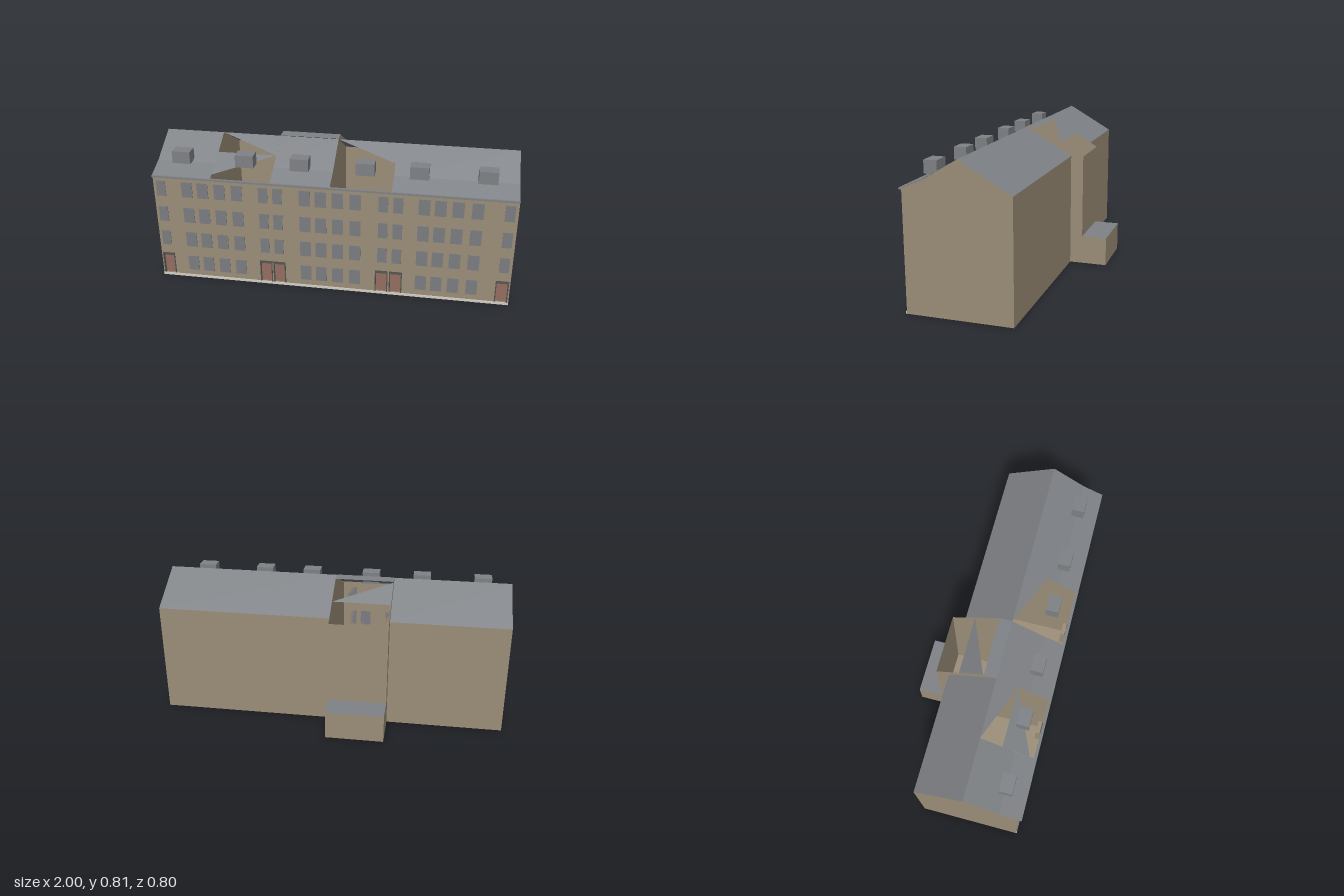
import * as THREE from 'three';

const mat = (name, color) => new THREE.MeshStandardMaterial({ name, color, side: THREE.DoubleSide });

export function createModel() {
  const wall = mat('wall', 0x9c8e78);
  const slate = mat('slate', 0x7f8286);
  const glass = mat('glass', 0x7b7d82);
  const doorRed = mat('door', 0x956f62);
  const dark = mat('darkTrim', 0x55534f);
  const pale = mat('paleStone', 0xd2cec6);

  const model = new THREE.Group();
  model.name = 'terraceBuilding';
  const add = (name, geo, material, parent = model) => {
    const m = new THREE.Mesh(geo, material);
    m.name = name;
    parent.add(m);
    return m;
  };
  // Box given by its minimum and maximum corners
  const box = (name, x0, x1, y0, y1, z0, z1, material, parent) => {
    const g = new THREE.BoxGeometry(x1 - x0, y1 - y0, z1 - z0);
    g.translate((x0 + x1) / 2, (y0 + y1) / 2, (z0 + z1) / 2);
    return add(name, g, material, parent);
  };
  const shapeOf = (pts) => new THREE.Shape(pts.map(([a, b]) => new THREE.Vector2(a, b)));

  // Main dimensions
  const U = 1 / 3, FRONT = 0.385, BACK = -0.183, BAY = -0.255, EAVE = 0.647, RIDGE = 0.805;
  const frontLine = [[0.09, RIDGE], [0.28, 0.692], [0.392, EAVE]];
  const backLine = [[0.09, RIDGE], [BACK, EAVE]];
  const bayLine = [[0.09, RIDGE + 0.002], [0.02, RIDGE + 0.002], [BAY, EAVE]];

  // Height of a sloping line at depth z
  const heightOn = (line, z) => {
    for (let i = 0; i < line.length - 1; i++) {
      const [z0, y0] = line[i], [z1, y1] = line[i + 1];
      if ((z - z0) * (z - z1) <= 1e-9) return y0 + (y1 - y0) * (z - z0) / (z1 - z0);
    }
    return line[line.length - 1][1];
  };
  // Roof panel from a plan outline [x, z], laid on a sloping line, facing up
  const panel = (name, line, plan) => {
    const [a, b, c] = plan;
    const up = (b[1] - a[1]) * (c[0] - a[0]) - (b[0] - a[0]) * (c[1] - a[1]);
    const p = up > 0 ? plan : [...plan].reverse();
    const pos = [];
    for (let i = 1; i < p.length - 1; i++)
      for (const [x, z] of [p[0], p[i], p[i + 1]]) pos.push(x, heightOn(line, z), z);
    const g = new THREE.BufferGeometry();
    g.setAttribute('position', new THREE.Float32BufferAttribute(pos, 3));
    g.computeVertexNormals();
    return add(name, g, slate);
  };
  const strip = (name, line, x0, x1) => {
    for (let i = 0; i < line.length - 1; i++) {
      const z0 = line[i][0], z1 = line[i + 1][0];
      panel(name, line, [[x0, z0], [x1, z0], [x1, z1], [x0, z1]]);
    }
  };

  // Gables and party walls
  for (let i = -3; i <= 3; i++) {
    const rear = i === -1 || i === 0 ? bayLine : backLine;
    const pts = [[FRONT, 0], [FRONT, 0.648], [0.28, 0.691], ...rear, [rear[rear.length - 1][0], 0]];
    const g = new THREE.ShapeGeometry(shapeOf(pts));
    g.rotateY(-Math.PI / 2);
    g.translate(i * U, 0, 0);
    add(Math.abs(i) === 3 ? 'gableWall' : 'partyWall', g, wall);
  }

  // Rear walls, ground floor and rear annex
  const rearWall = (name, x0, x1, z) => {
    const g = new THREE.PlaneGeometry(x1 - x0, EAVE);
    g.rotateY(Math.PI);
    g.translate((x0 + x1) / 2, EAVE / 2, z);
    add(name, g, wall);
  };
  rearWall('rearWall', -1, -U, BACK);
  rearWall('rearWall', 0, 1, BACK);
  rearWall('stairBayWall', -U, 0, BAY);
  const floor = (x0, x1, z0, z1) => {
    const g = new THREE.PlaneGeometry(x1 - x0, z1 - z0);
    g.rotateX(Math.PI / 2);
    g.translate((x0 + x1) / 2, 0, (z0 + z1) / 2);
    add('groundFloor', g, wall);
  };
  floor(-1, 1, BACK, FRONT);
  floor(-U, 0, BAY, BACK);
  box('rearAnnex', -U, 0, 0, 0.165, -0.4, BAY, [wall, wall, slate, wall, wall, wall]);

  // Front wall with door openings
  const doors = [-0.957, -0.373, -0.295, 0.29, 0.37, 0.957];
  const DW = 0.036, DH = 0.15;
  const facade = shapeOf([[-1, 0], [1, 0], [1, 0.648], [-1, 0.648]]);
  for (const x of doors)
    facade.holes.push(new THREE.Path([[x - DW, 0.004], [x - DW, DH], [x + DW, DH], [x + DW, 0.004]]
      .map(([a, b]) => new THREE.Vector2(a, b))));
  const facadeGeo = new THREE.ShapeGeometry(facade);
  facadeGeo.translate(0, 0, FRONT);
  add('frontWall', facadeGeo, wall);

  // Recessed doorways
  for (const x of doors) {
    const d = new THREE.Group();
    d.name = 'doorway';
    model.add(d);
    const z = 0.36;
    box('niche', x - DW, x + DW, 0, DH, z - 0.004, z, wall, d);
    for (const s of [-1, 1]) {
      const e = x + s * DW;
      box('jamb', e - 0.002, e + 0.002, 0, DH, z, FRONT, wall, d);
      const f = x + s * (DW - 0.003);
      box('doorFrame', f - 0.003, f + 0.003, 0, DH, FRONT - 0.006, FRONT + 0.003, dark, d);
    }
    box('lintelSoffit', x - DW, x + DW, DH - 0.004, DH, z, FRONT, wall, d);
    box('doorLintel', x - DW, x + DW, DH - 0.007, DH, FRONT - 0.006, FRONT + 0.003, dark, d);
    box('transomBar', x - DW, x + DW, 0.122, 0.127, z, z + 0.008, dark, d);
    box('transomLight', x - DW + 0.006, x + DW - 0.006, 0.127, 0.143, z, z + 0.003, glass, d);
    box('doorLeaf', x - DW + 0.004, x + DW - 0.004, 0.008, 0.122, z, z + 0.005, doorRed, d);
  }

  // Windows in four rows; columns above doors skip the ground row
  const wide = [-0.807, -0.717, -0.62, -0.522, -0.14, -0.052, 0.042, 0.139, 0.51, 0.596, 0.689, 0.791];
  const narrow = [-0.957, -0.373, -0.293, 0.291, 0.371, 0.957];
  [0.094, 0.251, 0.407, 0.567].forEach((y, row) => {
    const cols = wide.map((x) => [x, 0.031]);
    if (row > 0) cols.push(...narrow.map((x) => [x, 0.026]));
    for (const [x, w] of cols)
      box('window', x - w, x + w, y - 0.045, y + 0.047, FRONT, FRONT + 0.004, glass);
  });

  // Plinth and gutter
  box('plinth', -1, 1, 0, 0.014, FRONT, FRONT + 0.005, pale);
  box('gutter', -1, 1, 0.638, 0.648, FRONT, 0.4, slate);

  // Front roof, with open gaps over two of the houses
  strip('frontRoof', frontLine, -1, -2 * U);
  strip('frontRoof', frontLine, -U, 0);
  strip('frontRoof', frontLine, U, 1);
  panel('brokenRoofPanel', frontLine, [[-2 * U, 0.09], [-U, 0.09], [-U, 0.21]]);
  panel('brokenRoofPanel', frontLine, [[-2 * U, 0.21], [-U, 0.21], [-2 * U, 0.36]]);
  panel('brokenRoofPanel', frontLine, [[0, 0.09], [U, 0.09], [U, 0.21]]);

  // Rear roof and the partly open stair bay roof
  strip('rearRoof', backLine, -1, -U);
  strip('rearRoof', backLine, 0, 1);
  strip('bayRidge', bayLine.slice(0, 2), -U, 0);
  panel('brokenBayPanel', bayLine.slice(1), [[-U, 0.015], [-U, -0.122], [0, -0.122]]);

  // Box dormers
  for (const x of [-0.848, -0.488, -0.181, 0.18, 0.472, 0.833])
    box('dormer', x - 0.051, x + 0.051, 0.697, 0.767, 0.25, 0.321, slate);

  return model;
}
